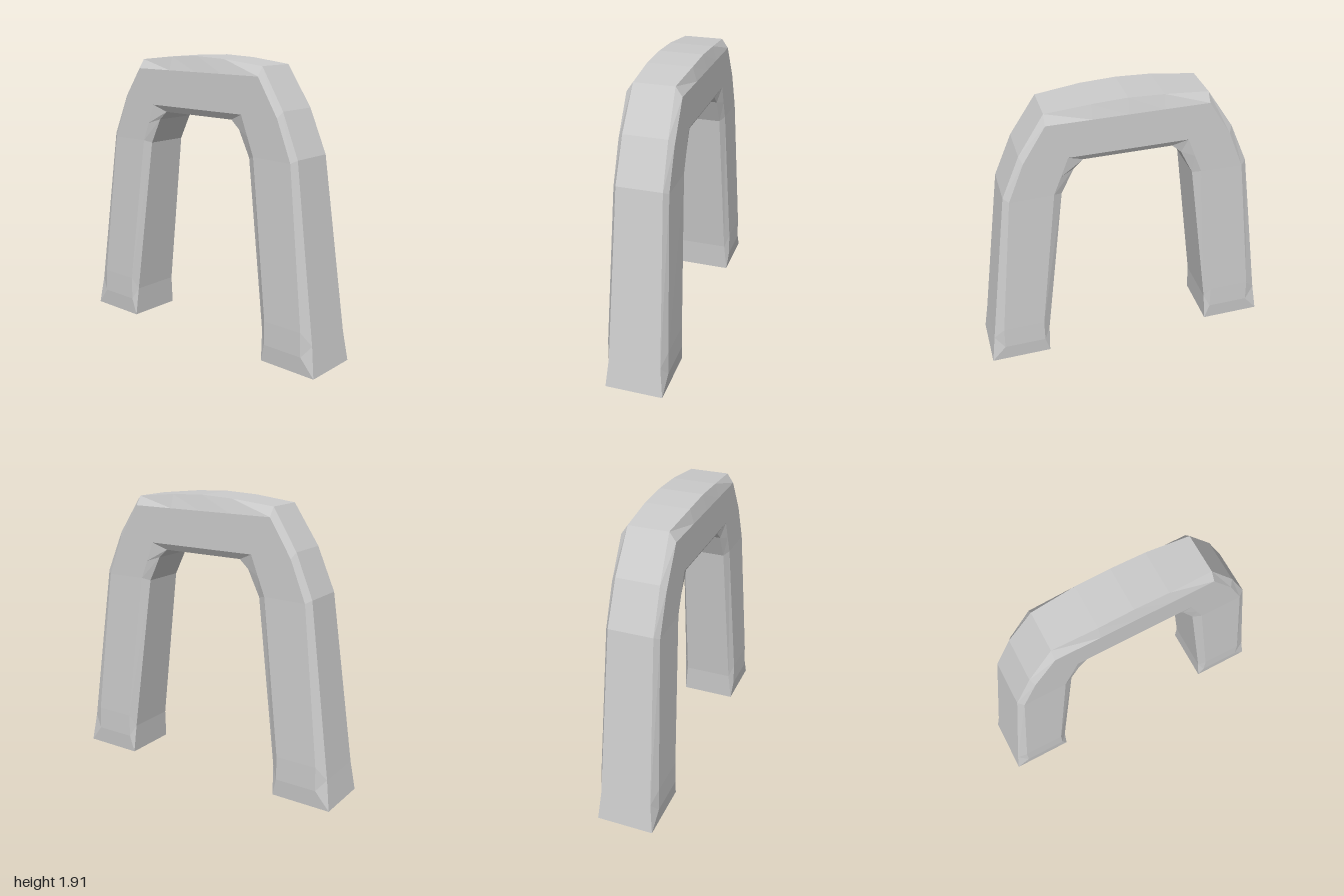
import * as THREE from 'three';

// Half of the arch, foot to crown. Each section lists four corners as [z, y, halfWidth]:
// outer face, outer side, inner side, inner face.
const HALF = [
  [[1, 0, 0.19], [1, 0, 0.19], [0.59, 0, 0.19], [0.59, 0, 0.19]],
  [[0.97, 0.2, 0.17], [0.905, 0.12, 0.2], [0.62, 0.12, 0.2], [0.58, 0.2, 0.17]],
  [[0.97, 0.2, 0.17], [0.9, 0.28, 0.2], [0.62, 0.28, 0.2], [0.58, 0.2, 0.17]],
  [[0.81, 1.33, 0.145], [0.775, 1.31, 0.172], [0.49, 1.315, 0.172], [0.437, 1.3, 0.145]],
  [[0.69, 1.61, 0.14], [0.67, 1.57, 0.172], [0.44, 1.44, 0.172], [0.353, 1.47, 0.145]],
  [[0.52, 1.87, 0.13], [0.52, 1.81, 0.172], [0.39, 1.57, 0.172], [0.29, 1.527, 0.145]],
  [[0.23, 1.9, 0.145], [0.23, 1.81, 0.172], [0.2, 1.57, 0.172], [0.15, 1.527, 0.145]],
  [[0, 1.91, 0.145], [0, 1.81, 0.172], [0, 1.57, 0.172], [0, 1.527, 0.145]],
];

// Eight-cornered ring, mirrored across x; zSign mirrors it front to back
function ring(section, zSign) {
  const left = section.map(([z, y, w]) => new THREE.Vector3(w, y, z * zSign));
  const right = section.map(([z, y, w]) => new THREE.Vector3(-w, y, z * zSign)).reverse();
  return [...left, ...right];
}

function archGeometry() {
  const rings = [
    ...HALF.map((s) => ring(s, 1)),
    ...HALF.slice(0, -1).reverse().map((s) => ring(s, -1)),
  ];
  const positions = [];
  const triangle = new THREE.Triangle();
  const addQuad = (a, b, c, d) => {
    for (const t of [[a, b, c], [a, c, d]]) {
      // Skip slivers where corners of neighbouring sections meet
      if (triangle.set(...t).getArea() < 1e-7) continue;
      t.forEach((p) => positions.push(p.x, p.y, p.z));
    }
  };

  // Skin between sections
  for (let i = 0; i < rings.length - 1; i++) {
    const lower = rings[i], upper = rings[i + 1];
    for (let j = 0; j < 8; j++) {
      const k = (j + 1) % 8;
      addQuad(lower[j], lower[k], upper[k], upper[j]);
    }
  }

  // Soles of the two feet
  const first = rings[0], last = rings[rings.length - 1];
  addQuad(first[0], first[7], first[4], first[3]);
  addQuad(last[0], last[3], last[4], last[7]);

  const geometry = new THREE.BufferGeometry();
  geometry.setAttribute('position', new THREE.Float32BufferAttribute(positions, 3));
  geometry.computeVertexNormals();
  return geometry;
}

export function createModel() {
  const group = new THREE.Group();
  group.name = 'archway';
  const material = new THREE.MeshStandardMaterial({ color: 0xcccccc, flatShading: true });
  const arch = new THREE.Mesh(archGeometry(), material);
  arch.name = 'arch';
  group.add(arch);
  return group;
}
